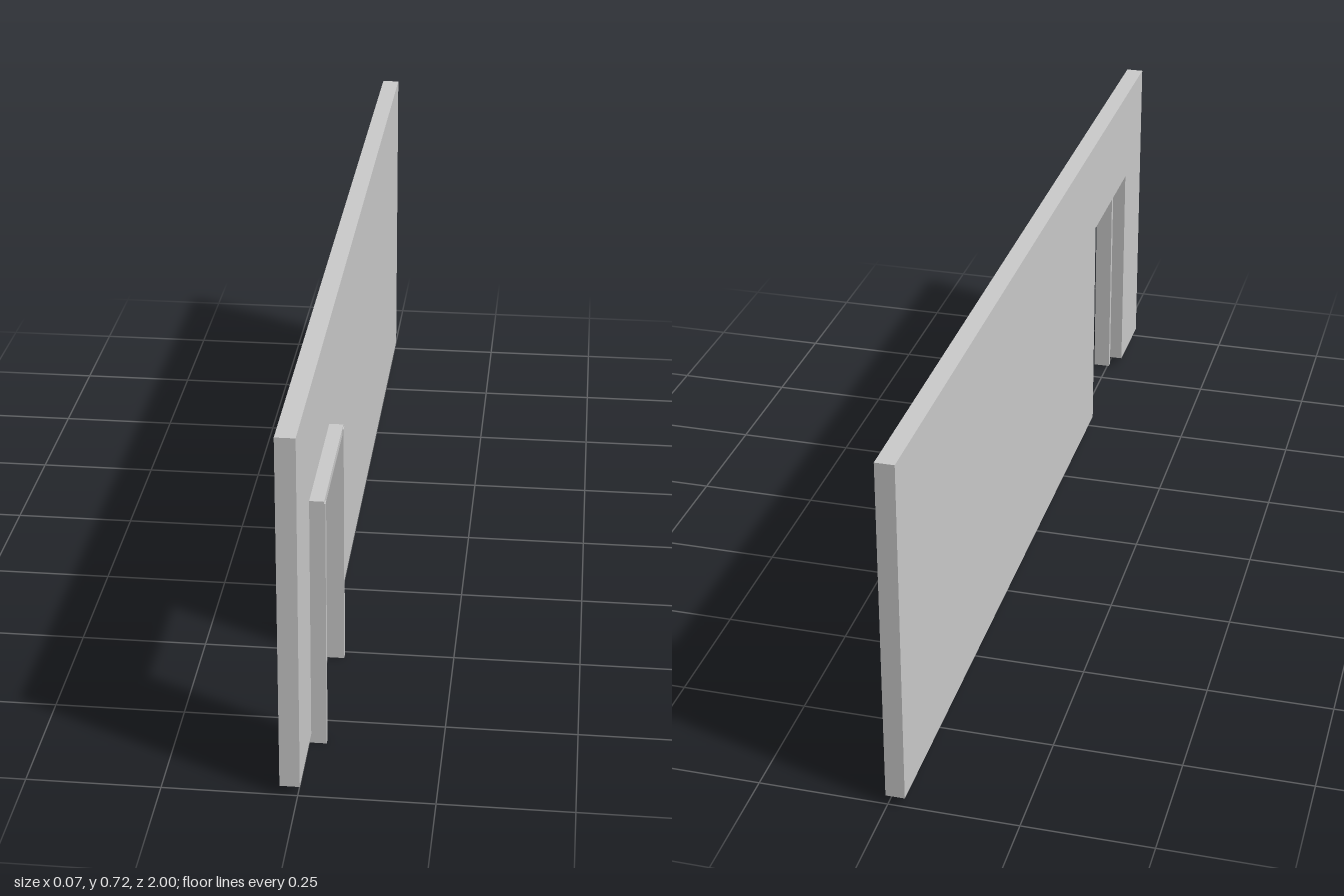
import * as THREE from 'three';

const grey = new THREE.MeshStandardMaterial({ color: 0xcccccc, flatShading: true });

// Doorway limits along z and its top height, shared by wall and frame
const door = { z0: 0.511, z1: 0.828, top: 0.51 };
const trim = 0.013;

// Box given by its lower and upper corners
function block(name, [x0, y0, z0], [x1, y1, z1]) {
  const geo = new THREE.BoxGeometry(x1 - x0, y1 - y0, z1 - z0);
  geo.translate((x0 + x1) / 2, (y0 + y1) / 2, (z0 + z1) / 2);
  const mesh = new THREE.Mesh(geo, grey);
  mesh.name = name;
  return mesh;
}

// Wall slab: outline drawn in (-z, y), then turned so its thickness runs along x
function createWall() {
  const bottom = 0.019, top = 0.718, xBack = -0.033, xFront = 0.004;
  const outline = [
    [1, bottom], [1, top], [-1, top], [-1, bottom],
    [-door.z1, bottom], [-door.z1, door.top], [-door.z0, door.top], [-door.z0, bottom],
  ].map(([u, y]) => new THREE.Vector2(u, y));
  const geo = new THREE.ExtrudeGeometry(new THREE.Shape(outline), {
    depth: xFront - xBack, bevelEnabled: false,
  });
  geo.rotateY(Math.PI / 2).translate(xBack, 0, 0);
  const wall = new THREE.Mesh(geo, grey);
  wall.name = 'wall';
  return wall;
}

// Door frame: two jambs and a header lining the opening and standing proud of the wall
function createDoorFrame() {
  const frame = new THREE.Group();
  frame.name = 'doorFrame';
  const x0 = -0.004, x1 = 0.033, jambTop = door.top - 0.004;
  frame.add(
    block('rearJamb', [x0, 0, door.z0], [x1, jambTop, door.z0 + trim]),
    block('frontJamb', [x0, 0, door.z1 - trim], [x1, jambTop, door.z1]),
    block('header', [x0, door.top - 0.015, door.z0], [x1 - 0.002, door.top, door.z1]),
  );
  return frame;
}

export function createModel() {
  const model = new THREE.Group();
  model.name = 'wallWithDoorway';
  model.add(createWall(), createDoorFrame());
  return model;
}
